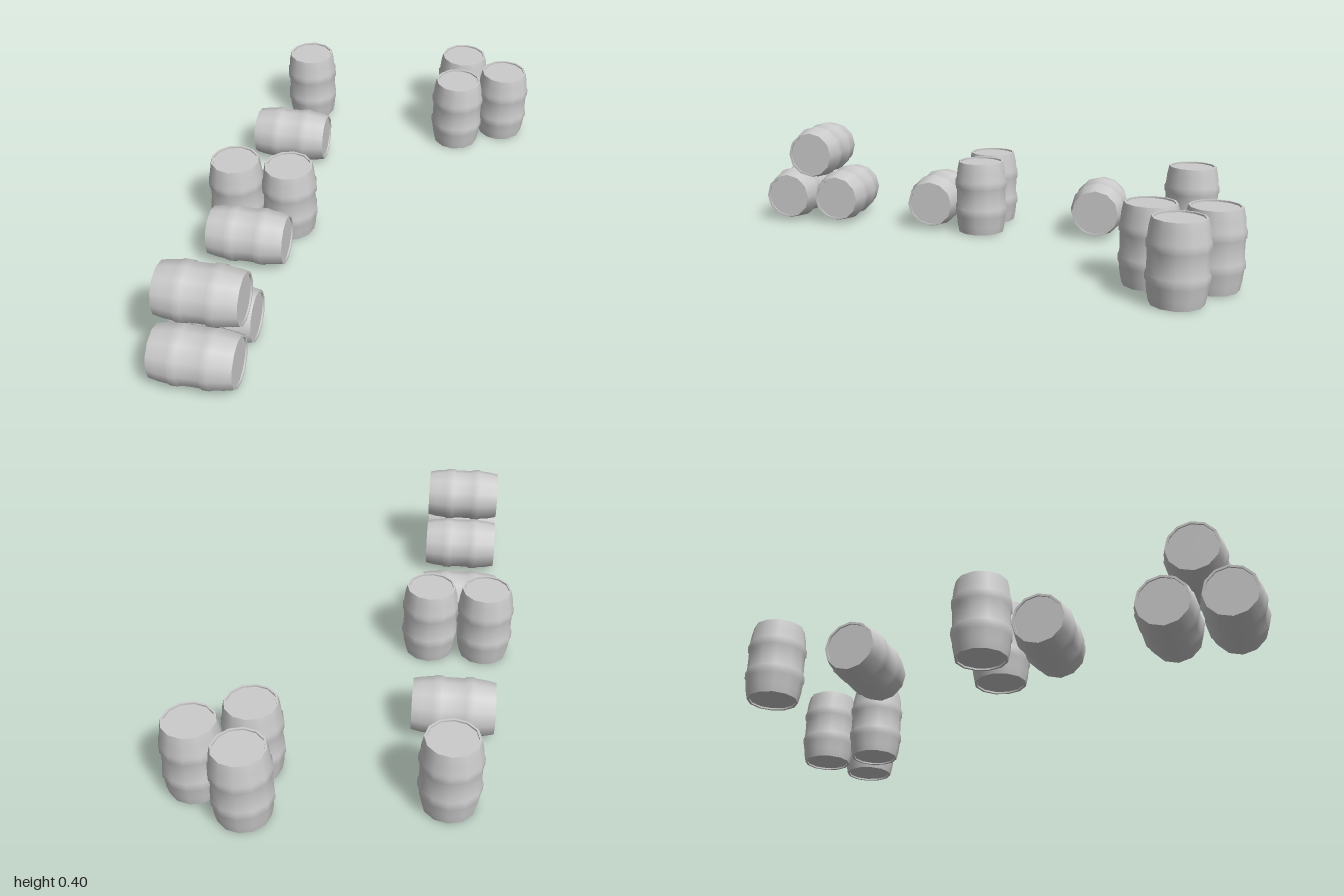
import * as THREE from 'three';
import { mergeGeometries } from 'three/addons/utils/BufferGeometryUtils.js';

const SIDES = 12;
const HALF = 0.145;   // half the barrel length
const END_R = 0.092;  // radius at the rims
const LID_R = 0.084;  // radius of the sunken lids
const SINK = 0.006;

const lathe = (pts) => new THREE.LatheGeometry(pts.map(([r, y]) => new THREE.Vector2(r, y)), SIDES);

function barrelGeometry() {
  // Upper half of the staves with one raised hoop, mirrored for the lower half
  const upper = [[0.1025, 0.034], [0.107, 0.041], [0.1075, 0.066], [0.103, 0.074], [0.099, 0.112], [END_R, HALF]];
  const lower = upper.map(([r, y]) => [r, -y]).reverse();
  const parts = [lathe([...lower, [0.102, 0], ...upper])];

  // Rim, inner lip and lid for both ends, kept separate so their edges stay sharp
  const end = [[END_R, HALF], [LID_R, HALF], [LID_R, HALF - SINK], [0, HALF - SINK]];
  for (let i = 0; i < 3; i++) {
    const [a, b] = [end[i], end[i + 1]];
    parts.push(lathe([a, b]));
    parts.push(lathe([[b[0], -b[1]], [a[0], -a[1]]]));
  }
  return mergeGeometries(parts);
}

export function createModel() {
  const model = new THREE.Group();
  const geometry = barrelGeometry();
  const material = new THREE.MeshStandardMaterial({ color: 0xcccccc });

  const addBarrel = (parent, name, x, y, z, lying) => {
    const barrel = new THREE.Mesh(geometry, material);
    barrel.name = name;
    barrel.position.set(x, y, z);
    if (lying) barrel.rotation.z = Math.PI / 2;
    parent.add(barrel);
  };
  const addGroup = (name) => {
    const group = new THREE.Group();
    group.name = name;
    model.add(group);
    return group;
  };

  const STAND_Y = 0.151;
  const LIE_Y = 0.111;
  const ROW_X = -0.373;

  // Three standing barrels in a cluster
  const cluster = addGroup('standingCluster');
  [[0.291, -0.893], [0.291, -0.677], [0.475, -0.785]].forEach(([x, z]) =>
    addBarrel(cluster, 'standingBarrel', x, STAND_Y, z, false));

  // Single standing and single lying barrel
  addBarrel(model, 'singleStandingBarrel', ROW_X, STAND_Y, -0.785, false);
  addBarrel(model, 'singleLyingBarrel', ROW_X, LIE_Y, -0.418, true);

  // Standing pair with a lying barrel before it
  const trio = addGroup('mixedTrio');
  for (const side of [-1, 1]) addBarrel(trio, 'standingBarrel', ROW_X + side * 0.105, STAND_Y, 0.055, false);
  addBarrel(trio, 'lyingBarrel', ROW_X, LIE_Y, 0.264, true);

  // Pyramid of three lying barrels
  const stack = addGroup('lyingStack');
  [[LIE_Y, 0.893], [LIE_Y, 0.677], [0.293, 0.786]].forEach(([y, z]) =>
    addBarrel(stack, 'lyingBarrel', ROW_X, y, z, true));

  return model;
}
